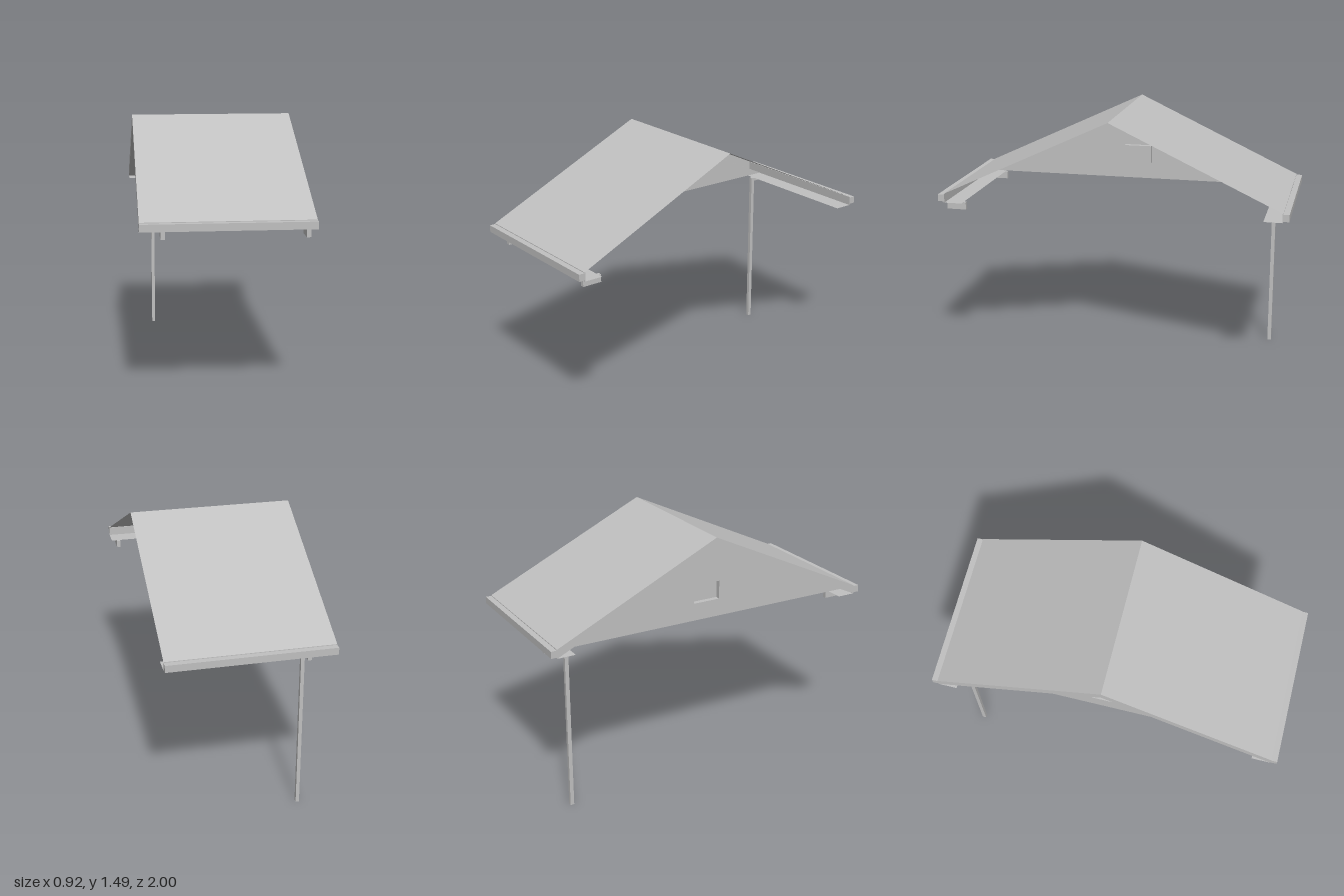
import * as THREE from 'three';

const X0 = -0.46, X1 = 0.46;      // gable end and open end of the roof
const GABLE_X = -0.36;
const RIDGE = 1.487, EAVE = 1.034; // top sheet heights
const Z = 0.966;                   // half width of the roof sheet
const INNER_RIDGE = 1.435, BASE = 0.983;

export function createModel() {
  const group = new THREE.Group();
  const grey = new THREE.MeshStandardMaterial({ color: 0xc0c0c0, side: THREE.DoubleSide });
  grey.name = 'plain grey';

  const add = (name, geometry) => {
    const mesh = new THREE.Mesh(geometry, grey);
    mesh.name = name;
    group.add(mesh);
    return mesh;
  };

  // Box given by its extents on each axis
  const box = (name, [ax, bx], [ay, by], [az, bz]) =>
    add(name, new THREE.BoxGeometry(Math.abs(bx - ax), by - ay, Math.abs(bz - az)))
      .position.set((ax + bx) / 2, (ay + by) / 2, (az + bz) / 2);

  // Flat sheet running along x between two (z, y) points, facing up or down
  const sheet = (name, ax, bx, [az, ay], [bz, by], up) => {
    const g = new THREE.BufferGeometry();
    g.setAttribute('position', new THREE.Float32BufferAttribute(
      [ax, ay, az, bx, ay, az, bx, by, bz, ax, by, bz], 3));
    g.setIndex((az > bz) === up ? [0, 1, 2, 0, 2, 3] : [0, 2, 1, 0, 3, 2]);
    g.computeVertexNormals();
    add(name, g);
  };

  // Upright sheet in the z-y plane, facing -x
  const upright = (name, x, points, hole) => {
    const shape = new THREE.Shape(points.map(p => new THREE.Vector2(...p)));
    if (hole) shape.holes.push(new THREE.Path(hole.map(p => new THREE.Vector2(...p))));
    add(name, new THREE.ShapeGeometry(shape).rotateY(-Math.PI / 2)).position.x = x;
  };

  // Roof slopes, overhang undersides, soffits and gutters, front and back
  for (const [side, s] of [['front', 1], ['back', -1]]) {
    sheet(side + 'RoofSlope', X0, X1, [s * Z, EAVE], [0, RIDGE], true);
    sheet(side + 'RakeSoffit', X0, GABLE_X, [s * Z, BASE], [0, INNER_RIDGE], false);
    sheet(side + 'EaveSoffit', X0, X1, [s * Z, BASE], [s * 0.86, BASE], false);
    box(side + 'Gutter', [X0, X1], [0.99, 1.03], [s * Z, s]);
    box(side + 'EaveBoard', [X0, X1], [BASE, EAVE], [s * (Z - 0.004), s * Z]);
  }

  // Rake board along the gable edge
  upright('rakeBoard', X0, [[-Z, BASE], [0, INNER_RIDGE], [Z, BASE],
    [Z, EAVE], [0, RIDGE], [-Z, EAVE]]);

  // Gable wall with a recessed vent
  const v = 0.083, v0 = 1.085, v1 = 1.192, depth = 0.03;
  const opening = [[-v, v0], [v, v0], [v, v1], [-v, v1]];
  upright('gableWall', GABLE_X, [[-Z, BASE], [Z, BASE], [0, INNER_RIDGE]], opening);
  upright('ventBack', GABLE_X + depth, opening);
  opening.forEach((p, i) => {
    const q = opening[(i + 1) % 4];
    sheet('ventSide', GABLE_X, GABLE_X + depth, p, q, i === 0 || i === 1);
  });

  // Front brackets under the soffit
  for (const x of [-0.338, 0.418])
    box('frontBracket', [x - 0.011, x + 0.011], [0.94, BASE], [0.845, 0.957]);

  // Back post with its short head beam
  box('post', [-0.32, -0.3], [0, BASE], [-0.862, -0.84]);
  box('postBeam', [-0.32, -0.3], [0.963, BASE], [-0.98, -0.862]);

  return group;
}
